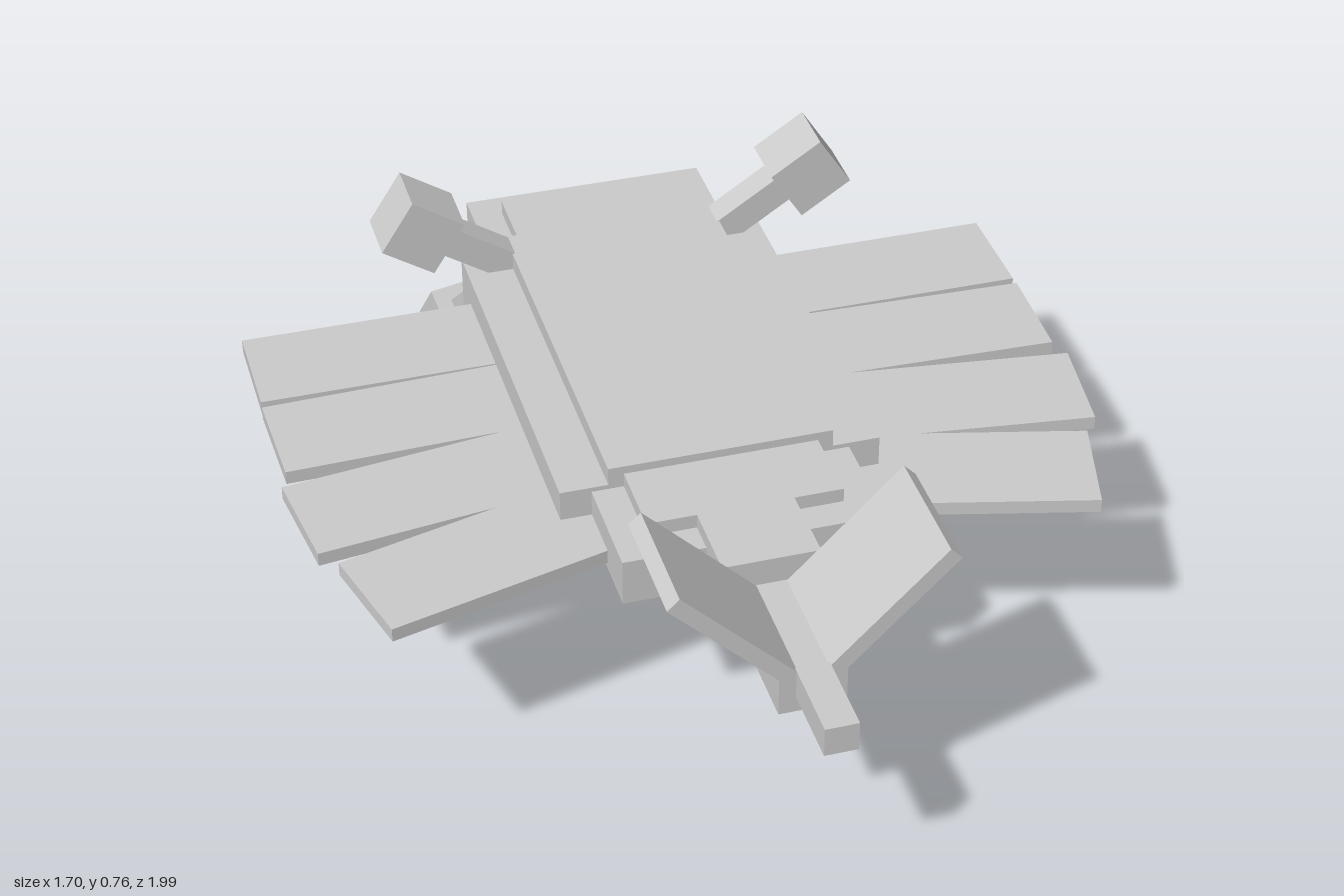
import * as THREE from 'three';

const grey = new THREE.MeshStandardMaterial({ color: 0xcccccc, flatShading: true });
const rad = THREE.MathUtils.degToRad;

export function createModel() {
  const model = new THREE.Group();

  // box of given size, turned by yaw, then pitch, then roll (degrees)
  function box(name, size, pos, { yaw = 0, pitch = 0, roll = 0 } = {}) {
    const mesh = new THREE.Mesh(new THREE.BoxGeometry(...size), grey);
    mesh.name = name;
    mesh.position.set(...pos);
    mesh.rotation.set(rad(pitch), rad(yaw), rad(roll), 'YXZ');
    model.add(mesh);
    return mesh;
  }

  // box symmetric about x = 0, given its half width and its y and z ranges
  function hull(name, halfX, y0, y1, z0, z1) {
    box(name, [halfX * 2, y1 - y0, z1 - z0], [0, (y0 + y1) / 2, (z0 + z1) / 2]);
  }

  // stacked hull
  hull('mainBody', 0.235, 0.373, 0.576, -0.655, 0.222);
  hull('wideBody', 0.335, 0.405, 0.537, -0.655, 0.222);
  hull('longDeck', 0.27, 0.425, 0.527, -0.89, 0.457);
  hull('spine', 0.203, 0.391, 0.558, -0.825, 0.39);
  hull('neck', 0.1, 0.391, 0.558, 0.38, 0.562);
  hull('finBase', 0.068, 0.405, 0.5, 0.55, 0.83);
  hull('tip', 0.034, 0.44, 0.504, 0.82, 1.0);

  // wing panels: outer edge middle (x, z) and sweep angle
  const panels = [
    [0.84, -0.457, 0],
    [0.838, -0.203, 1.7],
    [0.836, 0.078, 7.3],
    [0.758, 0.348, 14.5],
  ];
  const panelLength = 0.56, panelWidth = 0.235;

  for (const s of [1, -1]) {
    const side = s > 0 ? 'left' : 'right';

    panels.forEach(([x, z, sweep], i) => {
      const a = rad(sweep), h = panelLength / 2;
      box(`${side}WingPanel${i + 1}`, [panelLength, 0.03, panelWidth],
        [s * (x - h * Math.cos(a)), 0.455, z - h * Math.sin(a)], { yaw: -s * sweep });
    });

    // raised V fin
    box(`${side}Fin`, [0.33, 0.034, 0.266], [s * 0.156, 0.601, 0.697], { roll: s * 45 });

    // upper arm with a cube pod
    box(`${side}PodArm`, [0.26, 0.066, 0.067], [s * 0.285, 0.573, -0.618], { roll: s * 33 });
    box(`${side}Pod`, [0.132, 0.132, 0.132], [s * 0.435, 0.67, -0.62], { roll: s * 33 });

    // jointed rear leg, splayed outward
    const yaw = -s * 14;
    box(`${side}LegStrut`, [0.067, 0.067, 0.26], [s * 0.283, 0.395, -0.69], { yaw, pitch: -43 });
    box(`${side}LegKnee`, [0.142, 0.138, 0.165], [s * 0.31, 0.262, -0.803], { yaw, pitch: -54 });
    box(`${side}LegFoot`, [0.119, 0.1, 0.24], [s * 0.332, 0.13, -0.888], { yaw, pitch: -66 });
  }

  return model;
}
